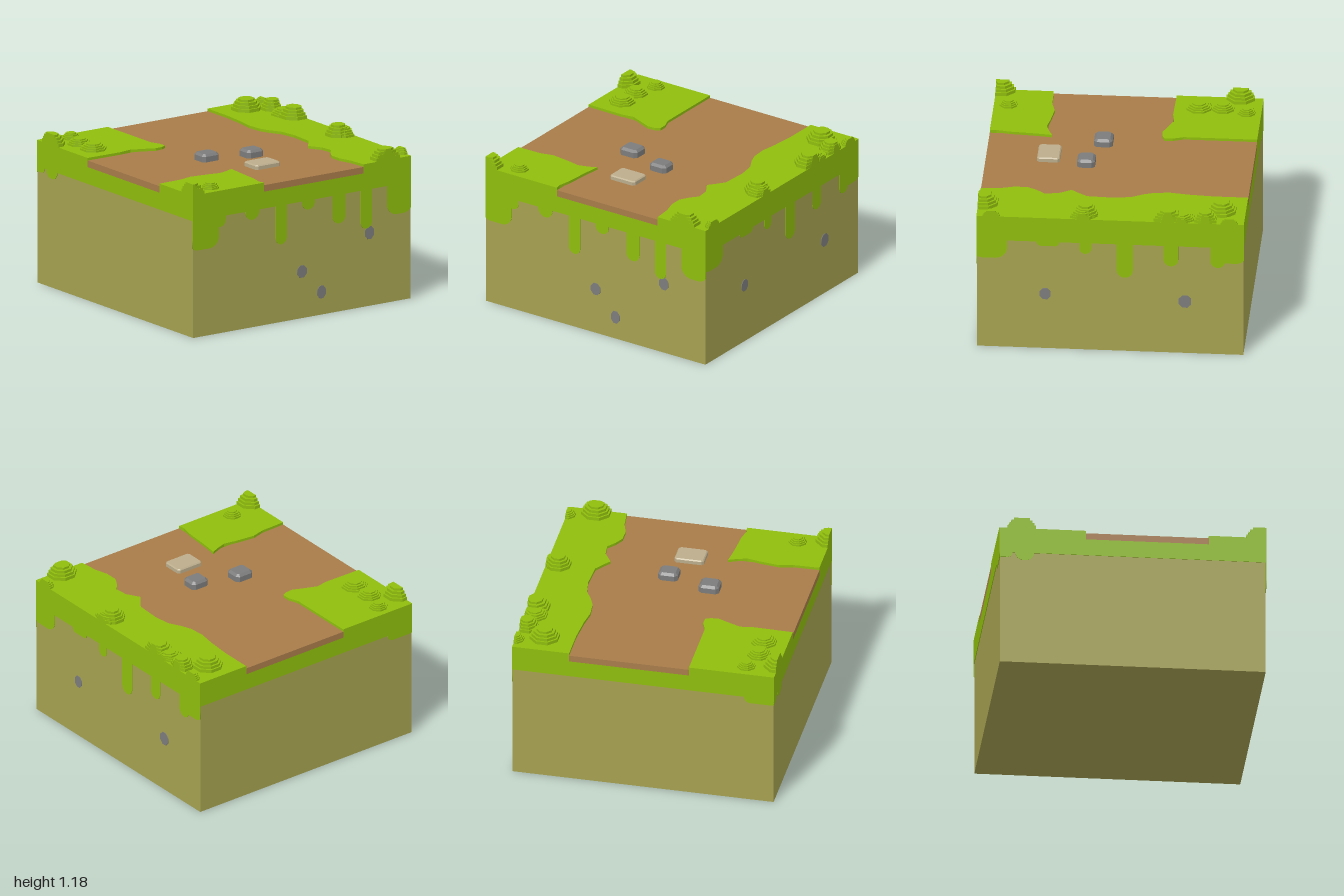
import * as THREE from 'three';

const mat = (name, color) => {
  const m = new THREE.MeshStandardMaterial({ color });
  m.name = name;
  return m;
};

export function createModel() {
  const root = new THREE.Group();
  root.name = 'pathTile';
  const grass = mat('grass green', 0x8fbe0c);
  const earth = mat('earth olive', 0xa6a251);
  const path = mat('path brown', 0xa87c4a);
  const stone = mat('stone grey', 0x7c7c7c);
  const sand = mat('slab beige', 0xbbad8c);

  const add = (name, geo, material, parent = root) => {
    const mesh = new THREE.Mesh(geo, material);
    mesh.name = name;
    parent.add(mesh);
    return mesh;
  };
  const group = (name) => {
    const g = new THREE.Group();
    g.name = name;
    root.add(g);
    return g;
  };
  const box = (w, h, d, y) => new THREE.BoxGeometry(w, h, d).translate(0, y, 0);

  // Extrudes an outline of [x, z] points upward from y0 to y1
  const slab = (pts, y0, y1) => {
    const shape = new THREE.Shape(pts.map(([x, z]) => new THREE.Vector2(x, -z)));
    return new THREE.ExtrudeGeometry(shape, { depth: y1 - y0, bevelEnabled: false })
      .rotateX(-Math.PI / 2).translate(0, y0, 0);
  };

  // Earth block and the grass layer over it
  const SKIN = 0.996;
  add('earthBlock', box(2 * SKIN, 0.9, 2 * SKIN, 0.45), earth);
  add('grassBand', box(2, 0.13, 2, 0.965), grass);

  // T-shaped path, partly tucked under the grass edges
  add('path', slab([[-0.35, -1], [0.565, -1], [0.565, -0.4], [0.7, -0.4], [0.7, 0.57], [0.565, 0.57],
    [0.565, 1], [-0.35, 1], [-0.35, 0.57], [-1, 0.57], [-1, -0.35], [-0.35, -0.35]], 1.03, 1.08), path);

  // Raised grass with wavy edges along the path
  const lawns = {
    lawnLeft: [[0.565, -1], [0.565, -0.75], [0.55, -0.55], [0.53, -0.42], [0.54, -0.3], [0.57, -0.22],
      [0.62, -0.13], [0.64, 0], [0.63, 0.2], [0.58, 0.27], [0.54, 0.32], [0.6, 0.42], [0.61, 0.52],
      [0.56, 0.58], [0.52, 0.65], [0.52, 0.75], [0.55, 0.85], [0.565, 1], [1, 1], [1, -1]],
    lawnBackRight: [[-1, -1], [-0.35, -1], [-0.35, -0.45], [-0.32, -0.37], [-0.32, -0.31], [-0.36, -0.29],
      [-0.42, -0.285], [-0.5, -0.32], [-0.6, -0.36], [-0.7, -0.345], [-1, -0.35]],
    lawnFrontRight: [[-1, 0.57], [-0.8, 0.565], [-0.7, 0.54], [-0.55, 0.56], [-0.45, 0.58], [-0.38, 0.56],
      [-0.31, 0.53], [-0.32, 0.6], [-0.33, 0.7], [-0.34, 0.85], [-0.36, 0.95], [-0.35, 1], [-1, 1]],
  };
  for (const [name, pts] of Object.entries(lawns)) add(name, slab(pts, 1.03, 1.1), grass);

  // Round-ended grass drips: [start, end, bottom], measured along the face as seen from outside
  const drip = ([a, b, y]) => {
    const r = Math.min((b - a) / 2, 0.9 - y, 0.09);
    const s = new THREE.Shape();
    s.moveTo(a, 0.9);
    s.lineTo(a, y + r);
    s.absarc(a + r, y + r, r, Math.PI, 1.5 * Math.PI, false);
    s.absarc(b - r, y + r, r, 1.5 * Math.PI, 2 * Math.PI, false);
    s.lineTo(b, 0.9);
    const geo = new THREE.ExtrudeGeometry(s, { depth: 1 - SKIN, bevelEnabled: false, curveSegments: 5 });
    const p = geo.attributes.position;
    for (let i = 0; i < p.count; i++) p.setX(i, THREE.MathUtils.clamp(p.getX(i), -1, 1));
    return geo.translate(0, 0, SKIN);
  };
  const faces = [
    ['front', 0, [[-1.04, -0.76, 0.67], [-0.8, -0.7, 0.82], [-0.52, -0.39, 0.83], [-0.24, -0.14, 0.6],
      [0, 0.12, 0.83], [0.28, 0.4, 0.68], [0.54, 0.64, 0.6], [0.78, 1.02, 0.67]]],
    ['left', Math.PI / 2, [[-1.04, -0.77, 0.75], [-0.55, -0.38, 0.865], [-0.23, -0.14, 0.81],
      [0.05, 0.17, 0.62], [0.4, 0.51, 0.73], [0.75, 0.86, 0.73], [0.77, 1.03, 0.77]]],
    ['back', Math.PI, [[0.77, 1.03, 0.85]]],
    ['right', -Math.PI / 2, [[-1.03, -0.9, 0.86], [-0.88, -0.74, 0.84]]],
  ];
  for (const [side, turn, list] of faces) {
    const g = group(side + 'Drips');
    g.rotation.y = turn;
    list.forEach((d) => add('grassDrip', drip(d), grass, g));
  }

  // Flat pebbles set into the earth: [along face, y, half width, half height]
  const pebbles = [
    ['front', 0, [[0, 0.36, 0.044, 0.048], [0.18, 0.175, 0.04, 0.05], [0.62, 0.565, 0.042, 0.05]]],
    ['left', Math.PI / 2, [[-0.485, 0.46, 0.042, 0.047], [0.56, 0.435, 0.048, 0.052]]],
  ];
  for (const [side, turn, list] of pebbles) {
    const g = group(side + 'Pebbles');
    g.rotation.y = turn;
    for (const [u, y, w, h] of list) {
      const geo = new THREE.CylinderGeometry(1.06, 1.06, 0.006, 8, 1, false, Math.PI / 8)
        .rotateX(Math.PI / 2).scale(w, h, 1).translate(u, y, SKIN + 0.001);
      add('pebble', geo, stone, g);
    }
  }

  // Stepped bushes, cut flat where they meet the edge of the tile: [x, z, radius, height]
  const bush = (x, z, r, h) => {
    const steps = [[1, 0.3], [0.88, 0.55], [0.74, 0.8], [0.55, 1]];
    const pts = [];
    let y = 0;
    for (const [k, top] of steps) {
      pts.push(new THREE.Vector2(r * k, y), new THREE.Vector2(r * k, h * top));
      y = h * top;
    }
    pts.push(new THREE.Vector2(0, h));
    const geo = new THREE.LatheGeometry(pts, 8, Math.PI / 8).translate(x, 1.1, z).toNonIndexed();
    const p = geo.attributes.position;
    for (let i = 0; i < p.count; i++) {
      p.setX(i, THREE.MathUtils.clamp(p.getX(i), -1, 1));
      p.setZ(i, THREE.MathUtils.clamp(p.getZ(i), -1, 1));
    }
    geo.computeVertexNormals();
    return geo;
  };
  const bushes = group('bushes');
  [
    [-1, -0.83, 0.115, 0.085], [-0.765, -0.89, 0.07, 0.045], [-0.82, -0.71, 0.09, 0.05], [-0.82, -0.53, 0.1, 0.05],
    [0.79, -0.82, 0.115, 0.085], [1, -0.89, 0.07, 0.045], [0.95, -0.71, 0.09, 0.08], [0.93, -0.53, 0.1, 0.05],
    [0.95, -0.43, 0.115, 0.085], [0.94, 0.21, 0.1, 0.06], [0.91, 0.19, 0.1, 0.085],
    [0.79, 0.96, 0.115, 0.085], [1, 0.89, 0.07, 0.045],
    [-1, 0.96, 0.115, 0.085], [-0.765, 0.89, 0.07, 0.045],
  ].forEach((b) => add('bush', bush(...b), grass, bushes));

  // Chamfered stones lying on the path
  const rock = (x, z, w, d, h, bevel) => {
    const a = w / 2 - bevel, b = d / 2 - bevel, c = 0.012;
    const pts = [[-a + c, -b], [a - c, -b], [a, -b + c], [a, b - c], [a - c, b], [-a + c, b], [-a, b - c], [-a, -b + c]];
    const shape = new THREE.Shape(pts.map((q) => new THREE.Vector2(...q)));
    return new THREE.ExtrudeGeometry(shape, {
      depth: h - bevel, bevelSize: bevel, bevelThickness: bevel, bevelSegments: 1,
    }).rotateX(-Math.PI / 2).translate(x, 1.08, z);
  };
  add('stoneRight', rock(-0.26, 0.14, 0.155, 0.14, 0.06, 0.018), stone);
  add('stoneLeft', rock(0.075, 0.245, 0.15, 0.135, 0.06, 0.018), stone);
  add('flatSlab', rock(-0.03, 0.53, 0.225, 0.17, 0.035, 0.008), sand);

  return root;
}
